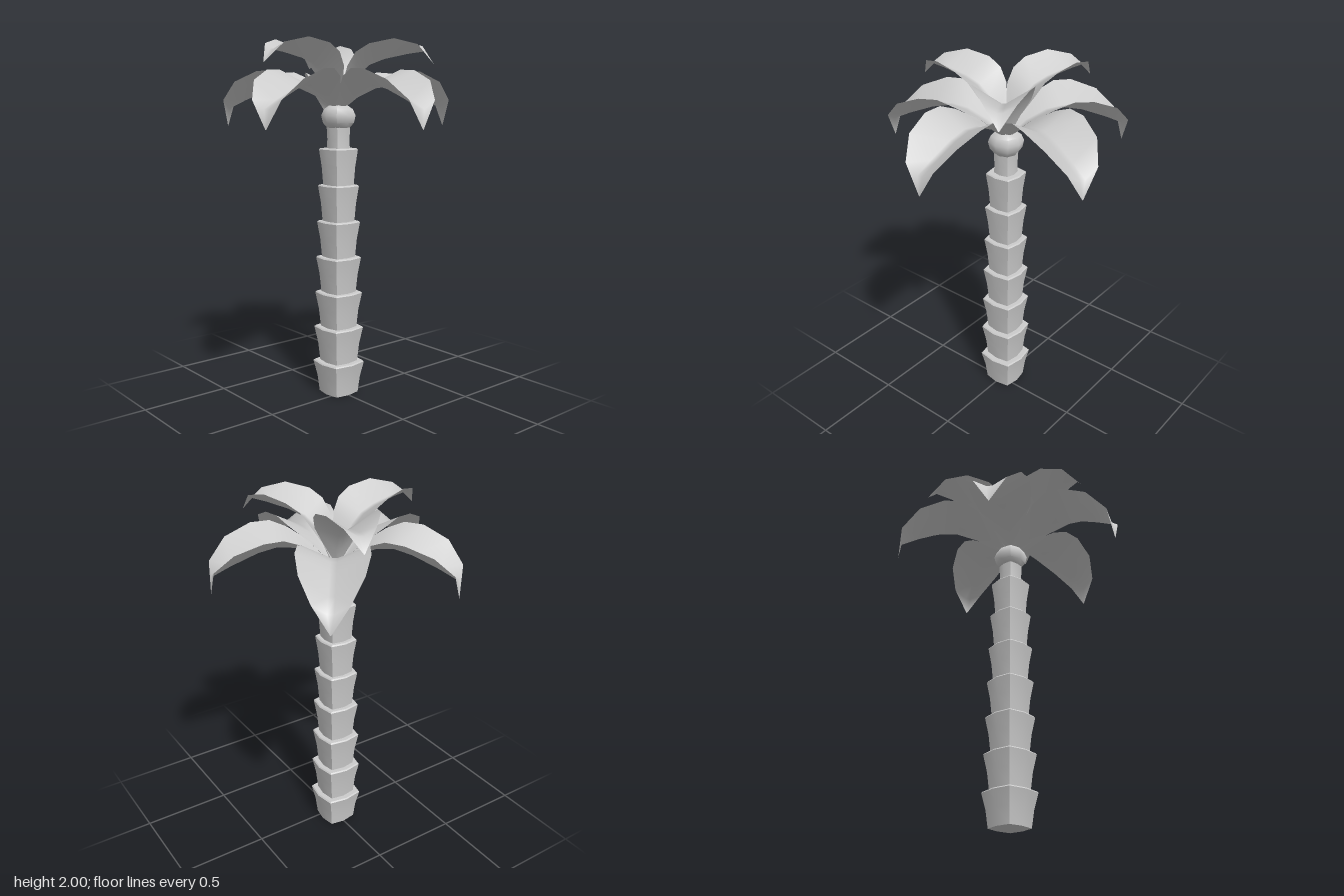
import * as THREE from 'three';
import { toCreasedNormals } from 'three/addons/utils/BufferGeometryUtils.js';

const CENTRE_Z = -0.039;
const material = new THREE.MeshStandardMaterial({ color: 0xcccccc });
const leafMaterial = new THREE.MeshStandardMaterial({ color: 0xcccccc, side: THREE.DoubleSide });

// Eight-sided turned form: a square with bulging sides. Radii are measured
// to the middle of a side; the four corners reach out further.
function bulgedSquare(profile, cornerScale, crease) {
  const points = profile.map(([r, y]) => new THREE.Vector2(r, y));
  const geo = new THREE.LatheGeometry(points, 8);
  const pos = geo.attributes.position;
  for (let i = 0; i < pos.count; i++) {
    const isCorner = Math.floor(i / profile.length) % 2 === 1;
    if (isCorner) pos.setXYZ(i, pos.getX(i) * cornerScale, pos.getY(i), pos.getZ(i) * cornerScale);
  }
  return toCreasedNormals(geo, crease);
}

// Stations along a leaf: distance out, keel height, edge height, half width
const LEAF = [
  [0.02, -0.02, -0.01, 0.012],
  [0.11, 0.05, 0.085, 0.088],
  [0.22, 0.1, 0.158, 0.152],
  [0.31, 0.112, 0.195, 0.172],
  [0.41, 0.09, 0.19, 0.178],
  [0.55, 0.035, 0.135, 0.152],
  [0.645, -0.01, 0.035, 0.09],
  [0.656, -0.11, -0.11, 0.002],
];

// Arching leaf with a V-shaped section and a narrow flat keel
function leafGeometry() {
  const positions = [], index = [];
  for (const [out, keel, edge, half] of LEAF) {
    const k = Math.min(0.016, half * 0.5);
    positions.push(-half, edge, out, -k, keel, out, k, keel, out, half, edge, out);
  }
  for (let i = 0; i < LEAF.length - 1; i++) {
    for (let j = 0; j < 3; j++) {
      const a = i * 4 + j, b = a + 1, c = a + 4, d = a + 5;
      // mirror the diagonal so both halves match
      if (j === 2) index.push(a, c, d, a, d, b);
      else index.push(a, c, b, b, c, d);
    }
  }
  const geo = new THREE.BufferGeometry();
  geo.setAttribute('position', new THREE.Float32BufferAttribute(positions, 3));
  geo.setIndex(index);
  geo.computeVertexNormals();
  return geo;
}

export function createModel() {
  const model = new THREE.Group();
  model.name = 'palmTree';

  const add = (parent, geometry, name, mat = material) => {
    const mesh = new THREE.Mesh(geometry, mat);
    mesh.name = name;
    parent.add(mesh);
    return mesh;
  };

  // Trunk: seven flared collars stacked on each other
  const trunk = new THREE.Group();
  trunk.name = 'trunk';
  trunk.position.z = CENTRE_Z;
  model.add(trunk);
  for (let i = 0; i < 7; i++) {
    const y0 = i === 0 ? 0 : 0.19 + (i - 1) * 0.205;
    const y1 = 0.19 + i * 0.205;
    const top = 0.123 - i * 0.0053;
    const bottom = 0.093 - i * 0.0035;
    const profile = [
      [0, y0],
      [bottom, y0],
      [bottom + (top - bottom) * 0.36, y0 + (y1 - y0) * 0.5],
      [top, y1 - 0.007],
      [top - 0.006, y1],
      [0, y1],
    ];
    add(trunk, bulgedSquare(profile, 1.2, 0.7), 'trunkSegment' + (i + 1));
  }

  // Neck and bulb below the crown
  add(trunk, bulgedSquare([[0.057, 1.41], [0.055, 1.47], [0.058, 1.535]], 1.13, 0.7), 'neck');
  add(trunk, bulgedSquare(
    [[0, 1.525], [0.056, 1.53], [0.08, 1.56], [0.089, 1.6], [0.075, 1.635], [0.045, 1.658], [0, 1.665]],
    1.08, 0.9), 'bulb');

  // Crown: five drooping leaves, and three smaller ones raised above them
  const crown = new THREE.Group();
  crown.name = 'crown';
  crown.position.set(0, 1.65, CENTRE_Z);
  model.add(crown);
  const leaf = leafGeometry();
  const addLeaves = (angles, pitch, scale, name) => {
    angles.forEach((angle, i) => {
      const mesh = add(crown, leaf, name + (i + 1), leafMaterial);
      mesh.rotation.order = 'YXZ';
      mesh.rotation.y = THREE.MathUtils.degToRad(angle);
      mesh.rotation.x = -THREE.MathUtils.degToRad(pitch);
      mesh.scale.setScalar(scale);
    });
  };
  addLeaves([0, 72, 144, 216, 288], 0, 1, 'lowerLeaf');
  addLeaves([35, 160, 275], 32.5, 0.86, 'upperLeaf');

  return model;
}
